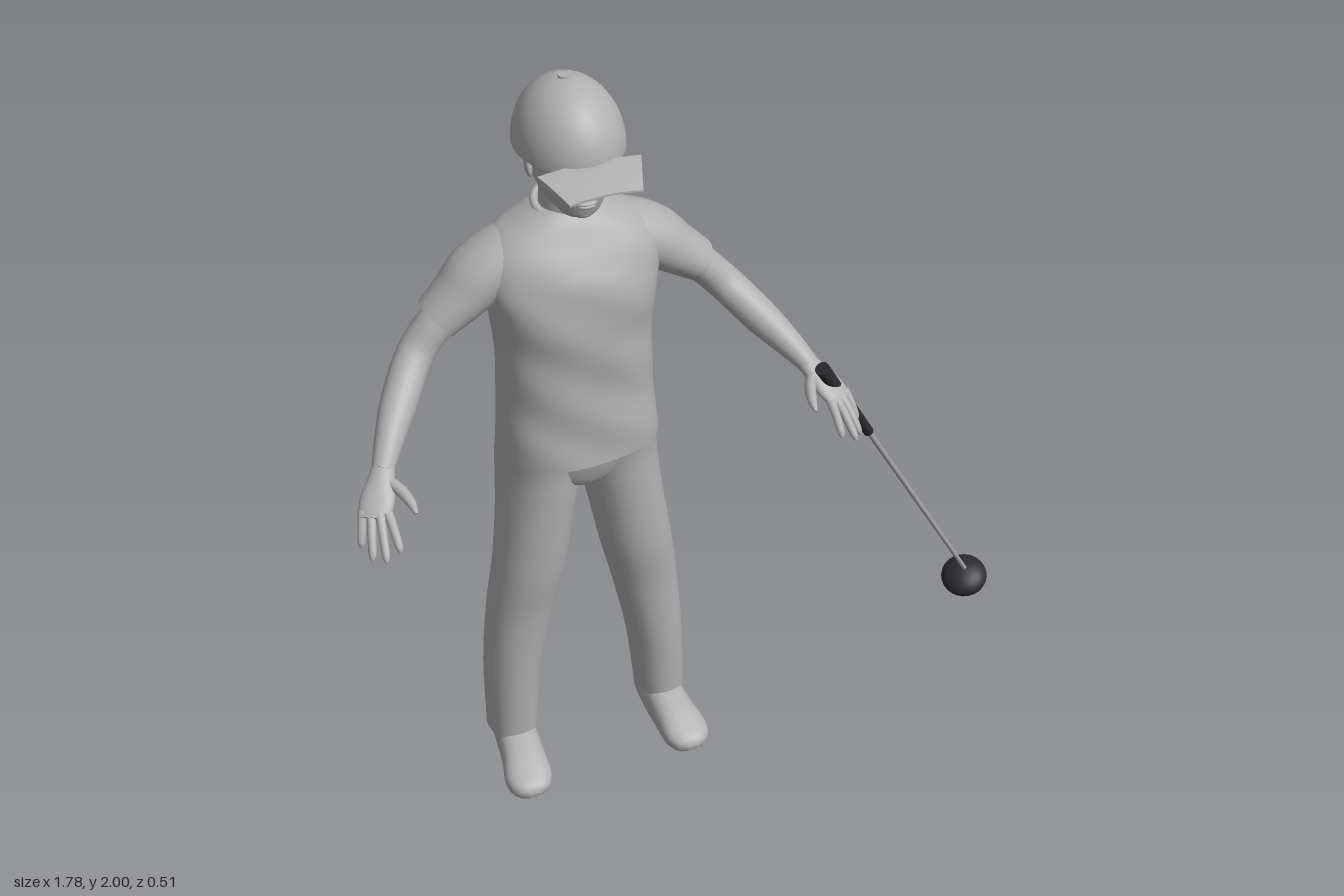
import * as THREE from 'three';

const mat = (name, color) => Object.assign(new THREE.MeshStandardMaterial({ color }), { name });

// Smooth skin through sections [x, y, z, radiusU, radiusV].
// flat: rings stay horizontal (U = x, V = z); otherwise they follow the path (U = sideways, V = up).
function loft(sections, { flat = false, sides = 28, steps = 5, power = 2, warp = null } = {}) {
  const centres = new THREE.CatmullRomCurve3(sections.map(s => new THREE.Vector3(s[0], s[1], s[2])), false, 'catmullrom');
  const radii = new THREE.CatmullRomCurve3(sections.map(s => new THREE.Vector3(s[3], s[4], 0)), false, 'catmullrom');
  const rows = (sections.length - 1) * steps;
  const pos = [], index = [];
  const up = new THREE.Vector3(0, 1, 0);
  const round = v => Math.sign(v) * Math.abs(v) ** (2 / power);
  for (let i = 0; i <= rows; i++) {
    const c = centres.getPoint(i / rows), r = radii.getPoint(i / rows);
    let u = new THREE.Vector3(1, 0, 0), v = new THREE.Vector3(0, 0, -1);
    if (!flat) {
      const t = centres.getTangent(i / rows);
      u = up.clone().cross(t).normalize();
      v = t.clone().cross(u);
    }
    for (let j = 0; j < sides; j++) {
      const a = j / sides * Math.PI * 2;
      const p = c.clone().addScaledVector(u, r.x * round(Math.cos(a))).addScaledVector(v, r.y * round(Math.sin(a)));
      if (warp) warp(p);
      pos.push(p.x, p.y, p.z);
    }
  }
  for (let i = 0; i < rows; i++) for (let j = 0; j < sides; j++) {
    const a = i * sides + j, b = i * sides + (j + 1) % sides;
    index.push(a, b, a + sides, b, b + sides, a + sides);
  }
  // End caps with their own vertices, so the rims stay crisp
  for (const row of [0, rows]) {
    const start = pos.length / 3;
    pos.push(...pos.slice(row * sides * 3, (row + 1) * sides * 3));
    const c = centres.getPoint(row / rows);
    pos.push(c.x, c.y, c.z);
    for (let j = 0; j < sides; j++) {
      const a = start + j, b = start + (j + 1) % sides;
      index.push(start + sides, row ? a : b, row ? b : a);
    }
  }
  const g = new THREE.BufferGeometry();
  g.setAttribute('position', new THREE.Float32BufferAttribute(pos, 3));
  g.setIndex(index);
  g.computeVertexNormals();
  return g;
}

export function createModel() {
  const grey = mat('figure grey', 0xb0b0b0);
  const steel = mat('shaft grey', 0xa4a4a4);
  const black = mat('grip black', 0x2b2b30);

  const model = new THREE.Group();
  const body = new THREE.Group();
  body.name = 'golfer';
  body.position.x = -0.27;
  model.add(body);

  const add = (name, geometry, material = grey, parent = body) => {
    const m = new THREE.Mesh(geometry, material);
    m.name = name;
    parent.add(m);
    return m;
  };
  const blob = (name, p, size, material = grey, parent = body) => {
    const m = add(name, new THREE.SphereGeometry(1, 24, 16), material, parent);
    m.position.set(...p);
    m.scale.set(...size);
    return m;
  };

  // Shirt, with a groove down the spine and soft folds
  add('shirt', loft([
    [0, 1.015, -0.105, 0.2, 0.148], [0, 1.1, -0.105, 0.195, 0.145], [0, 1.2, -0.105, 0.189, 0.141],
    [0, 1.32, -0.105, 0.189, 0.143], [0, 1.42, -0.105, 0.2, 0.146], [0, 1.5, -0.108, 0.215, 0.138],
    [0, 1.56, -0.115, 0.212, 0.12], [0, 1.61, -0.125, 0.175, 0.1], [0, 1.645, -0.128, 0.115, 0.08],
    [0, 1.668, -0.13, 0.074, 0.062],
  ], {
    flat: true, sides: 56, power: 2.3, warp: p => {
      const fade = Math.max(0, Math.min(1, (1.63 - p.y) / 0.12));
      if (p.z < -0.13) p.z += fade * 0.022 * Math.exp(-((p.x / 0.05) ** 2));
      p.z += fade * 0.003 * Math.sin(p.y * 34 + p.x * 22);
    },
  }));
  const collar = add('collar', new THREE.TorusGeometry(0.068, 0.009, 10, 36));
  collar.position.set(0, 1.667, -0.125);
  collar.rotation.x = Math.PI / 2 + 0.28;
  collar.scale.set(1.05, 0.95, 1);

  // Hips
  add('hips', loft([
    [0, 0.895, -0.115, 0.05, 0.07], [0, 0.92, -0.117, 0.11, 0.105],
    [0, 0.96, -0.118, 0.17, 0.125], [0, 1.04, -0.11, 0.193, 0.138],
  ], { flat: true, sides: 36 }));

  for (const s of [1, -1]) {
    const side = s > 0 ? 'left' : 'right';
    const mirror = list => list.map(([x, ...rest]) => [x * s, ...rest]);
    const limb = (name, list, options) => add(side + name, loft(mirror(list), options));

    // Trouser leg and shoe
    limb('Leg', [
      [0.21, 0.095, -0.122, 0.065, 0.077], [0.198, 0.3, -0.122, 0.073, 0.087], [0.17, 0.5, -0.113, 0.085, 0.088],
      [0.143, 0.65, -0.1, 0.092, 0.096], [0.12, 0.8, -0.105, 0.095, 0.11], [0.106, 0.9, -0.115, 0.099, 0.124],
      [0.1, 0.97, -0.118, 0.1, 0.13], [0.098, 1.03, -0.11, 0.097, 0.13],
    ], { flat: true, power: 2.1 });
    limb('Shoe', [
      [0.205, 0.05, -0.2, 0.015, 0.025], [0.206, 0.052, -0.185, 0.044, 0.05], [0.208, 0.055, -0.1, 0.053, 0.062],
      [0.214, 0.046, -0.02, 0.057, 0.052], [0.222, 0.034, 0.045, 0.062, 0.038], [0.223, 0.026, 0.085, 0.045, 0.026],
      [0.223, 0.022, 0.1, 0.015, 0.01],
    ], { power: 2.5, warp: p => { p.y = Math.max(p.y, 0); } });

    // Sleeve and arm
    limb('Sleeve', [
      [0.06, 1.565, -0.125, 0.075, 0.058], [0.13, 1.555, -0.128, 0.088, 0.072], [0.21, 1.515, -0.128, 0.086, 0.074],
      [0.265, 1.472, -0.123, 0.075, 0.062], [0.325, 1.425, -0.118, 0.063, 0.051],
    ]);
    limb('Arm', [
      [0.28, 1.46, -0.118, 0.045, 0.04], [0.325, 1.42, -0.115, 0.048, 0.043], [0.385, 1.355, -0.1, 0.045, 0.043],
      [0.45, 1.283, -0.03, 0.043, 0.043], [0.493, 1.238, 0.03, 0.035, 0.035], [0.53, 1.195, 0.085, 0.026, 0.023],
    ]);

    // Hand: palm, four spread fingers and a thumb
    limb('Palm', [
      [0.522, 1.203, 0.073, 0.026, 0.023], [0.54, 1.18, 0.103, 0.032, 0.021],
      [0.56, 1.155, 0.135, 0.041, 0.019], [0.58, 1.13, 0.168, 0.036, 0.012],
    ], { sides: 20 });
    const tips = [[0.545, 1.085, 0.25], [0.58, 1.07, 0.255], [0.605, 1.06, 0.225], [0.618, 1.068, 0.18]];
    tips.forEach((tip, i) => {
      const w = 0.03 - 0.02 * i;
      const root = [0.572 - 0.83 * w, 1.141, 0.158 + 0.55 * w];
      const at = (k, lift) => [0, 1, 2].map(n => root[n] + (tip[n] - root[n]) * k + (n === 1 ? lift : 0));
      limb('Finger' + (i + 1), [
        [...at(0, 0), 0.012, 0.012], [...at(0.5, 0.006), 0.0105, 0.0105],
        [...at(0.88, 0.002), 0.009, 0.009], [...at(1, 0), 0.003, 0.003],
      ], { sides: 10, steps: 3 });
    });
    limb('Thumb', [
      [0.532, 1.182, 0.1, 0.014, 0.014], [0.506, 1.172, 0.145, 0.014, 0.014],
      [0.494, 1.16, 0.185, 0.011, 0.011], [0.492, 1.15, 0.21, 0.004, 0.004],
    ], { sides: 10, steps: 3 });

    // Ear, eye, brow and nostril
    blob(side + 'Ear', [0.094 * s, 1.805, -0.085], [0.01, 0.034, 0.02]).rotation.set(-0.2, 0.35 * s, 0);
    blob(side + 'Eye', [0.035 * s, 1.803, 0.024], [0.017, 0.007, 0.01]);
    blob(side + 'Brow', [0.036 * s, 1.822, 0.022], [0.026, 0.007, 0.013]);
    blob(side + 'Nostril', [0.012 * s, 1.767, 0.038], [0.009, 0.007, 0.01]);
  }

  // Neck and head
  add('neck', loft([
    [0, 1.62, -0.125, 0.068, 0.06], [0, 1.68, -0.12, 0.061, 0.06],
    [0, 1.72, -0.118, 0.062, 0.062], [0, 1.78, -0.115, 0.07, 0.075],
  ], { flat: true }));
  add('head', loft([
    [0, 1.692, -0.016, 0.022, 0.02], [0, 1.702, -0.02, 0.042, 0.038], [0, 1.718, -0.035, 0.057, 0.06],
    [0, 1.745, -0.065, 0.076, 0.098], [0, 1.78, -0.079, 0.088, 0.117], [0, 1.82, -0.082, 0.092, 0.118],
    [0, 1.87, -0.083, 0.094, 0.122],
  ], { flat: true, sides: 40 }));
  add('nose', loft([
    [0, 1.758, 0.034, 0.008, 0.005], [0, 1.767, 0.038, 0.014, 0.018], [0, 1.778, 0.036, 0.011, 0.016],
    [0, 1.8, 0.03, 0.008, 0.013], [0, 1.822, 0.026, 0.009, 0.01],
  ], { flat: true, sides: 16 }));
  blob('upperLip', [0, 1.743, 0.032], [0.023, 0.005, 0.01]);
  blob('lowerLip', [0, 1.734, 0.028], [0.02, 0.006, 0.011]);
  blob('chin', [0, 1.708, 0.006], [0.025, 0.015, 0.015]);

  // Cap: dome, closed underside, button and curved brim
  const dome = add('capDome', new THREE.SphereGeometry(1, 48, 20, 0, Math.PI * 2, 0, Math.PI / 2));
  dome.position.set(0, 1.842, -0.082);
  dome.scale.set(0.125, 0.154, 0.153);
  const under = add('capUnderside', new THREE.CircleGeometry(1, 48));
  under.position.copy(dome.position);
  under.rotation.x = Math.PI / 2;
  under.scale.set(0.125, 0.153, 1);
  const button = add('capButton', new THREE.CylinderGeometry(0.014, 0.016, 0.012, 20));
  button.position.set(0, 1.994, -0.092);
  const brim = new THREE.BoxGeometry(2, 0.005, 1, 12, 1, 8);
  const bp = brim.attributes.position;
  for (let i = 0; i < bp.count; i++) {
    const a = bp.getX(i), t = bp.getZ(i) + 0.5;
    bp.setXYZ(i, a * (0.12 - 0.036 * t), bp.getY(i) + 1.856 - 0.022 * t ** 1.4 - 0.008 * a * a, 0.053 + 0.104 * t);
  }
  brim.computeVertexNormals();
  add('capBrim', brim);

  // Golf club held in the left hand
  const club = new THREE.Group();
  club.name = 'club';
  model.add(club);
  const rod = (name, from, to, r0, r1, material) => {
    const a = new THREE.Vector3(...from), b = new THREE.Vector3(...to);
    const m = add(name, new THREE.CylinderGeometry(r1, r0, a.distanceTo(b), 20), material, club);
    m.position.copy(a).add(b).multiplyScalar(0.5);
    m.quaternion.setFromUnitVectors(new THREE.Vector3(0, 1, 0), b.sub(a).normalize());
  };
  rod('grip', [0.264, 1.222, 0.147], [0.422, 0.955, 0.103], 0.018, 0.013, black);
  rod('shaft', [0.42, 0.958, 0.103], [0.812, 0.275, -0.022], 0.007, 0.006, steel);
  const clubHead = blob('clubHead', [0.826, 0.225, -0.043], [0.063, 0.036, 0.063], black, club);
  clubHead.quaternion.setFromUnitVectors(new THREE.Vector3(0, 1, 0), new THREE.Vector3(-0.28, 1, 0.33).normalize());

  return model;
}
